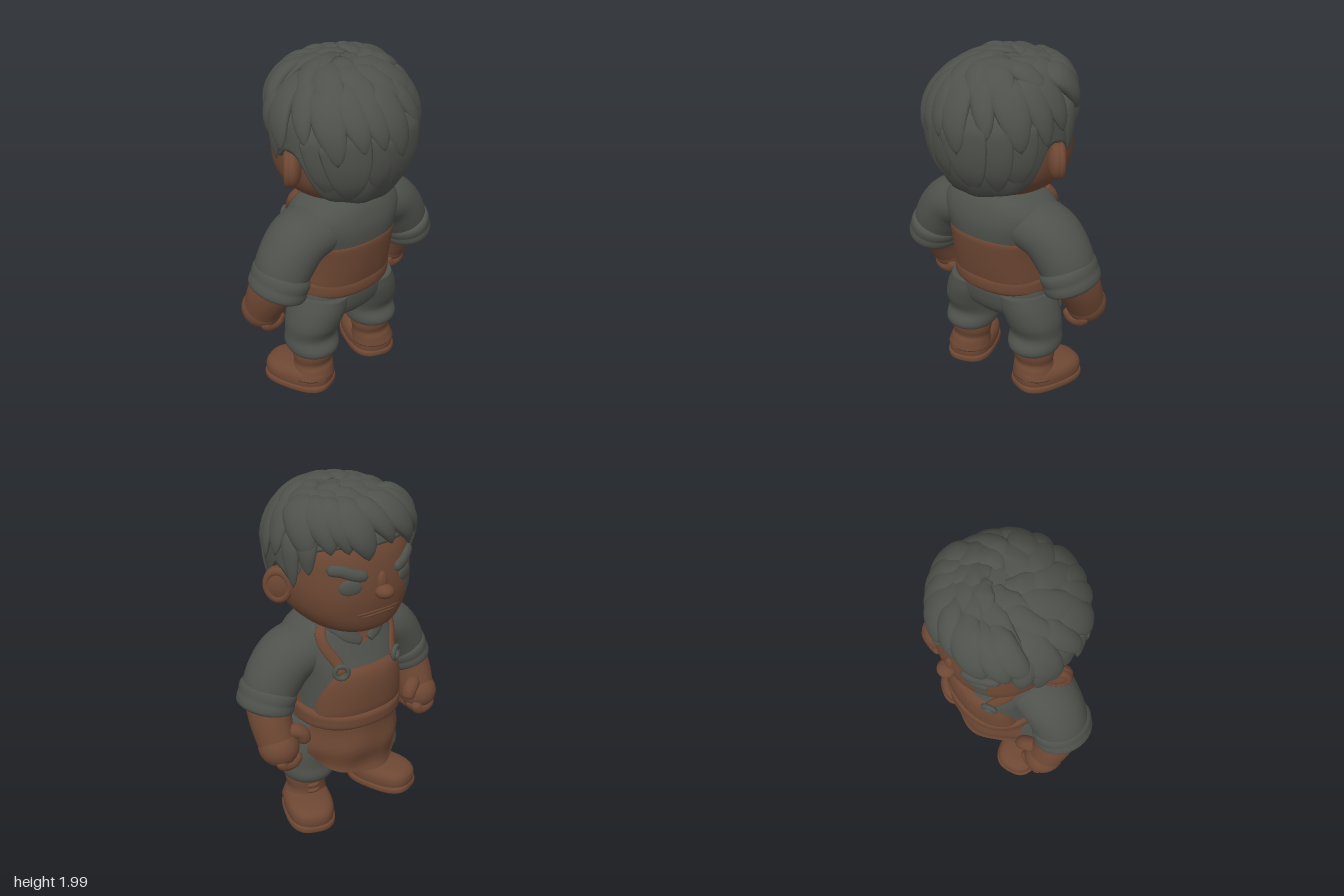
import * as THREE from 'three';
import { mergeVertices } from 'three/addons/utils/BufferGeometryUtils.js';

const V = (x, y, z) => new THREE.Vector3(x, y, z);

// Smooth interpolation of rows keyed on their first value
function sample(rows, k) {
  const n = rows.length - 1;
  k = Math.min(Math.max(k, rows[0][0]), rows[n][0]);
  let i = 0;
  while (i < n - 1 && k > rows[i + 1][0]) i++;
  const h = rows[i + 1][0] - rows[i][0], t = (k - rows[i][0]) / h;
  const slope = (j, c) => {
    const a = rows[Math.max(j - 1, 0)], b = rows[Math.min(j + 1, n)];
    return (b[c] - a[c]) / (b[0] - a[0]) * h;
  };
  return rows[i].map((p, c) => {
    const q = rows[i + 1][c], t2 = t * t, t3 = t2 * t;
    return p * (2 * t3 - 3 * t2 + 1) + q * (3 * t2 - 2 * t3) + slope(i, c) * (t3 - 2 * t2 + t) + slope(i + 1, c) * (t3 - t2);
  });
}

// Surface from f(u, v)
function grid(f, nu, nv) {
  const pos = [], idx = [], w = nu + 1;
  for (let j = 0; j <= nv; j++) for (let i = 0; i <= nu; i++) pos.push(...f(i / nu, j / nv).toArray());
  for (let j = 0; j < nv; j++) for (let i = 0; i < nu; i++) {
    const a = j * w + i;
    idx.push(a, a + 1, a + w, a + 1, a + w + 1, a + w);
  }
  let g = new THREE.BufferGeometry();
  g.setAttribute('position', new THREE.Float32BufferAttribute(pos, 3));
  g.setIndex(idx);
  g = mergeVertices(g, 1e-5);
  g.computeVertexNormals();
  return g;
}

// Upright body from rows [y, centre x, centre z, radius x, radius z]; angle 0 looks to -z
const body = (rows, p = 2) => (a, y, off = 0) => {
  const [, cx, cz, rx, rz] = sample(rows, y), s = Math.sin(a), c = Math.cos(a);
  const e = q => Math.sign(q) * Math.abs(q) ** (2 / p);
  return V(cx + (rx + off) * e(s), y, cz - (rz + off) * e(c));
};
function loft(rows, p = 2, nu = 40, nv = 32) {
  const f = body(rows, p), y0 = rows[0][0], y1 = rows[rows.length - 1][0];
  return grid((u, v) => {
    const w = Math.min(Math.max((v * nv - 1) / (nv - 2), 0), 1), y = y0 + (y1 - y0) * w;
    if (v === 0 || v === 1) { const r = sample(rows, y); return V(r[1], y, r[2]); }
    return f(-(u % 1) * Math.PI * 2, y);
  }, nu, nv);
}

// Tapered tube: size(t) gives [radius along ref, radius across]
function limb(points, size, ref = () => V(0, 0, 1), nu = 20, nv = 20) {
  const curve = new THREE.CatmullRomCurve3(points.map(p => p.isVector3 ? p : V(...p)));
  return grid((u, v) => {
    const t = Math.min(Math.max((v * nv - 1) / (nv - 2), 0), 1);
    const p = curve.getPoint(t), T = curve.getTangent(t);
    if (v === 0 || v === 1) return p;
    const N = ref(p).addScaledVector(T, -ref(p).dot(T)).normalize(), B = T.clone().cross(N);
    const [rn, rb] = size(t), a = (u % 1) * Math.PI * 2;
    return p.addScaledVector(N, rn * Math.cos(a)).addScaledVector(B, rb * Math.sin(a));
  }, nu, nv);
}

export function createModel() {
  const model = new THREE.Group();
  const grey = new THREE.MeshStandardMaterial({ color: 0x4f514c, side: THREE.DoubleSide });
  grey.name = 'charcoal';
  const brown = new THREE.MeshStandardMaterial({ color: 0x6d4733, side: THREE.DoubleSide });
  brown.name = 'brown';
  const add = (name, geo, mat, parent = model) => {
    const m = new THREE.Mesh(geo, mat);
    m.name = name;
    parent.add(m);
    return m;
  };
  const ball = (name, mat, p, r, parent) => {
    const m = add(name, new THREE.SphereGeometry(1, 24, 16), mat, parent);
    m.position.set(...p);
    m.scale.set(...r);
    return m;
  };
  const round = r => t => { const k = Math.sqrt(Math.max(0, 1 - (2 * t - 1) ** 6)); return [r[0] * k, r[1] * k]; };

  // Shirt torso
  const torsoRows = [[0.62, 0, -0.02, 0.28, 0.2], [0.72, 0, -0.045, 0.295, 0.255], [0.82, 0, -0.043, 0.295, 0.275],
    [0.96, 0, -0.027, 0.3, 0.28], [1.08, 0, 0.005, 0.33, 0.258], [1.16, 0, 0.015, 0.33, 0.23],
    [1.22, 0, 0.01, 0.27, 0.205], [1.25, 0, 0, 0.21, 0.18], [1.27, 0, 0, 0.18, 0.15]];
  const torso = body(torsoRows, 2.3);
  add('shirt', loft(torsoRows, 2.3, 48, 40), grey);

  // Apron bib, back panel, belt and skirt
  const panel = (mid, width, y0, y1, thick) => grid((u, v) => {
    const s = 1 - 2 * u, y = y0 + (y1(s) - y0) * v;
    const edge = (1 - s ** 10) * (1 - v ** 24);
    return torso(mid + s * width(v), y, -0.01 + (thick + 0.01) * edge);
  }, 40, 28);
  add('apronBib', panel(0, v => 1.3 - 0.75 * v ** 2.2, 0.68, () => 1.02, 0.022), brown);
  add('apronBack', panel(Math.PI, v => 1.75 - 0.15 * v, 0.68, s => 1.015 - 0.045 * s * s, 0.008), brown);
  add('belt', loft([[0.645, 0, -0.055, 0.3, 0.26], [0.66, 0, -0.06, 0.313, 0.28], [0.7, 0, -0.06, 0.316, 0.287],
    [0.735, 0, -0.06, 0.314, 0.283], [0.755, 0, -0.055, 0.298, 0.262]], 2.2, 48, 16), brown);
  // Skirt hem hangs slightly higher on its left
  add('apronSkirt', grid((u, v) => {
    const s = 1 - 2 * u, a = s * 1.17, low = 0.335 + 0.035 * s * s + 0.04 * s ** 12 + 0.05 * Math.max(s, 0) ** 1.5;
    const y = 0.69 + (low - 0.69) * (1 - v);
    const r = 0.328 + 0.016 * Math.cos(y * 24) * (1 - v) + 0.008 * Math.sin(a * 7 + y * 9) * (1 - v);
    return V(r * (1 + 0.04 * (1 - v)) * Math.sin(a), y, -0.005 - r * Math.cos(a));
  }, 40, 28), brown);

  // Open collar
  add('neck', loft([[1.15, 0, -0.02, 0.15, 0.15], [1.32, 0, -0.02, 0.17, 0.17]], 2, 32, 8), brown);
  add('openChest', grid((u, v) => torso((1 - 2 * u) * 0.3 * v, 1.12 + 0.13 * v, 0.006), 12, 8), brown);

  // Trousers
  add('hips', loft([[0.44, 0, 0, 0.09, 0.08], [0.46, 0, 0, 0.18, 0.12], [0.52, 0, 0.005, 0.28, 0.165],
    [0.62, 0, 0, 0.31, 0.195], [0.7, 0, -0.01, 0.295, 0.2]], 2.2), grey);

  for (const s of [-1, 1]) {
    const side = new THREE.Group();
    side.name = s > 0 ? 'leftSide' : 'rightSide';
    model.add(side);
    const put = (name, geo, mat) => add(name, geo, mat, side);

    put('trouserLeg', loft([[0.245, s * 0.235, 0, 0.12, 0.13], [0.262, s * 0.235, 0, 0.142, 0.155], [0.3, s * 0.235, -0.005, 0.152, 0.165],
      [0.36, s * 0.232, -0.015, 0.15, 0.147], [0.45, s * 0.225, 0, 0.156, 0.165], [0.55, s * 0.192, 0.005, 0.16, 0.182],
      [0.64, s * 0.165, 0, 0.145, 0.19]], 2.1), grey);

    // Boot, turned outward
    put('bootShaft', loft([[0.08, s * 0.25, 0.01, 0.135, 0.13], [0.14, s * 0.24, 0.01, 0.12, 0.115], [0.17, s * 0.237, 0.005, 0.116, 0.107],
      [0.22, s * 0.235, 0.01, 0.127, 0.115], [0.29, s * 0.235, 0.01, 0.128, 0.122]]), brown);
    const foot = new THREE.Group();
    foot.name = 'foot';
    foot.position.set(s * 0.277, 0, -0.068);
    foot.rotation.y = -0.36 * s;
    side.add(foot);
    add('sole', loft([[0, 0, 0, 0.134, 0.205], [0.008, 0, 0, 0.142, 0.212], [0.035, 0, 0, 0.142, 0.212], [0.045, 0, 0, 0.134, 0.204]], 2.8, 40, 12), brown, foot);
    add('bootUpper', loft([[0.03, 0, 0, 0.134, 0.205], [0.08, 0, 0, 0.138, 0.209], [0.115, 0, 0.003, 0.128, 0.197],
      [0.138, 0, 0.015, 0.1, 0.165], [0.147, 0, 0.03, 0.055, 0.11]], 2.6, 40, 20), brown, foot);
    for (const y of [0.16, 0.2]) {
      put('lace', limb([[s * 0.2, y, -0.08], [s * 0.25, y + 0.005, -0.108], [s * 0.3, y, -0.08]], round([0.012, 0.012]), undefined, 8, 10), brown);
    }

    // Sleeve with rolled cuff, tilted along the arm
    put('sleeve', limb([[s * 0.2, 1.08, 0.02], [s * 0.34, 1.035, 0.02], [s * 0.43, 0.93, 0.02], [s * 0.475, 0.83, 0.015]],
      t => [0.19 - 0.035 * t, 0.14 + 0.018 * Math.sin(t * 3)], undefined, 32, 24), grey);
    put('rolledCuff', limb([[s * 0.45, 0.895, 0.025], [s * 0.478, 0.83, 0.02], [s * 0.5, 0.765, 0.015]],
      t => { const k = 0.86 + 0.14 * (1 - (2 * t - 1) ** 6) - 0.02 * Math.exp(-(((t - 0.5) / 0.1) ** 2)); return [0.18 * k, 0.153 * k]; }, undefined, 32, 22), grey);

    // Forearm and fist
    put('forearm', limb([[s * 0.48, 0.83, 0.01], [s * 0.5, 0.72, -0.05], [s * 0.5, 0.6, -0.11]],
      t => [0.145 - 0.035 * t, 0.122 - 0.016 * t], undefined, 28, 16), brown);
    ball('fist', brown, [s * 0.5, 0.59, -0.12], [0.112, 0.112, 0.12], side);
    for (let i = 0; i < 4; i++) {
      const z = -0.195 + i * 0.048;
      put('finger', limb([[s * 0.545, 0.56, z], [s * 0.515, 0.512, z], [s * 0.45, 0.51, z], [s * 0.42, 0.565, z]], round([0.034, 0.036]), undefined, 12, 14), brown);
    }
    put('thumb', limb([[s * 0.46, 0.69, -0.14], [s * 0.39, 0.665, -0.18], [s * 0.37, 0.6, -0.18]], round([0.045, 0.042]), undefined, 14, 14), brown);

    // Apron strap, ring and collar lapel
    const strap = [[0.52, 1.0], [0.55, 1.06], [0.66, 1.13], [0.8, 1.19], [0.95, 1.235]].map(([a, y]) => torso(s * a, y, 0.008));
    put('strap', limb(strap, () => [0.014, 0.03], p => V(p.x, 0.15, p.z).normalize(), 12, 20), brown);
    const ring = put('strapRing', new THREE.TorusGeometry(0.037, 0.014, 10, 24), grey);
    ring.position.copy(torso(s * 0.53, 1.015, 0.025));
    ring.rotation.y = -s * 0.5;
    put('lapel', limb([torso(s * 0.06, 1.14, 0.012), torso(s * 0.24, 1.19, 0.02), torso(s * 0.5, 1.235, 0.02), torso(s * 1.2, 1.25, 0.01)],
      t => [0.014, 0.012 + 0.035 * Math.sin(Math.PI * (0.1 + 0.75 * t))], p => V(p.x, 0.1, p.z).normalize(), 14, 18), grey);
  }

  // Head
  const headRows = [[1.225, 0, -0.1, 0.13, 0.16], [1.24, 0, -0.085, 0.2, 0.23], [1.28, 0, -0.06, 0.265, 0.283], [1.36, 0, -0.035, 0.325, 0.328],
    [1.46, 0, -0.025, 0.35, 0.35], [1.58, 0, -0.02, 0.35, 0.345], [1.7, 0, -0.01, 0.335, 0.32], [1.82, 0, 0, 0.26, 0.24], [1.88, 0, 0, 0.15, 0.14]];
  const head = body(headRows, 2.25);
  add('head', loft(headRows, 2.25, 56, 44), brown);
  const outward = p => V(p.x, (p.y - 1.55) * 0.5, p.z).normalize();
  ball('nose', brown, [0, 1.482, -0.388], [0.052, 0.038, 0.052]);
  ball('noseBridge', brown, [0, 1.525, -0.362], [0.032, 0.06, 0.028]);
  for (const [y, w] of [[1.37, 0.46], [1.352, 0.34]]) {
    const pts = [-1, -0.5, 0, 0.5, 1].map(k => head(k * w, y - 0.01 * k * k, -0.004));
    add('lip', limb(pts, round([0.008, 0.009]), outward, 12, 20), brown);
  }
  add('cheekMark', grid((u, v) => {
    const t = u * Math.PI * 2;
    return head(-0.57 - 0.13 * v * Math.cos(t), 1.455 + 0.036 * v * Math.sin(t), 0.004);
  }, 20, 3), grey);
  for (const s of [-1, 1]) {
    const eye = ball('eye', grey, head(s * 0.48, 1.525, -0.008).toArray(), [0.062, 0.046, 0.018]);
    eye.rotation.y = -s * 0.42;
    const brow = [[0.2, 1.575], [0.4, 1.592], [0.62, 1.617], [0.85, 1.618]].map(([a, y]) => head(s * a, y, 0.002));
    add('eyebrow', limb(brow, round([0.022, 0.032]), outward, 14, 18), grey);
    // Ear flared outward and forward
    const ear = new THREE.Group();
    ear.name = 'ear';
    ear.position.set(s * 0.368, 1.475, 0.025);
    ear.rotation.y = s * 0.7;
    model.add(ear);
    ball('earLobe', brown, [0, 0, 0], [0.05, 0.1, 0.085], ear);
    const rim = add('earRim', new THREE.TorusGeometry(0.068, 0.022, 12, 28), brown, ear);
    rim.rotation.y = Math.PI / 2;
    rim.scale.set(0.92, 1.12, 1);
    rim.position.x = s * 0.022;
  }

  // Hair cap with a hairline that dips at the sideburns and nape, crown set to one side
  const hairline = [[0, 1.73], [0.9, 1.71], [1.12, 1.62], [1.28, 1.51], [1.45, 1.56], [1.75, 1.56], [1.98, 1.36], [2.4, 1.3], [3.15, 1.27]];
  const hair = (a, y, off = 0) => {
    const f = y > 1.65 ? Math.sqrt(Math.max(0, 1 - ((y - 1.65) / 0.32) ** 2)) : 1 - 0.3 * ((1.65 - y) / 0.38) ** 3;
    const k = Math.max((y - 1.65) / 0.32, 0);
    return V((0.38 * f + off) * Math.sin(a) + 0.06 * k ** 3 - 0.008, y + off * k, 0.02 - 0.03 * k - (0.38 * f + off) * Math.cos(a));
  };
  add('hairCap', grid((u, v) => {
    const a = Math.PI - (u % 1) * Math.PI * 2, low = sample(hairline, Math.abs(a))[1];
    const t = Math.min((1 - v) / 0.94, 1), y = 1.97 + (low - 1.97) * t ** 1.7;
    return hair(a, y, v === 0 ? -0.09 : 0.006 * Math.sin(a * 10 + y * 8) * t);
  }, 96, 34), grey);

  // Swept locks: tip angle and height, turn from the root, root height, half width, thickness, mid bulge, tip flick
  const lock = (a, y, da, y0, w, d, bulge, flick) => {
    const pts = [];
    for (let i = 0; i <= 6; i++) {
      const t = i / 6;
      pts.push(hair(a + da * (1 - t) ** 1.5, y0 + (y - y0) * t ** 1.5, bulge * Math.sin(Math.PI * t) + flick * t ** 3));
    }
    const size = t => { const k = Math.min(1, 0.3 + 2.2 * t) * Math.max(0, 1 - t ** 3.5) ** 0.75; return [d * k, w * k]; };
    add('hairLock', limb(pts, size, p => V(p.x, p.y - 1.62, p.z).normalize(), 16, 22), grey);
  };
  const ring = (n, a0, a1, y, dy, da, y0, w, d, bulge, flick) => {
    for (let i = 0; i < n; i++) {
      const a = a0 + (a1 - a0) * i / (n - 1);
      lock(a + 0.08 * Math.sin(i * 5.1), y + dy * Math.sin(i * 2.4 + 1), da, y0, w * (1 + 0.18 * Math.sin(i * 3.7)), d, bulge, flick);
    }
  };
  ring(6, 2.2, 4.08, 1.34, 0.03, 0.15, 1.75, 0.12, 0.02, 0.004, 0);
  ring(10, 1.55, 4.73, 1.6, 0.05, 0.4, 1.92, 0.085, 0.036, 0.006, 0.024);
  ring(8, -1.1, 1.1, 1.69, 0.03, 0.55, 1.93, 0.085, 0.045, 0.03, 0.018);
  ring(11, 0, 5.7, 1.8, 0.03, 0.8, 1.96, 0.08, 0.034, 0.008, 0.024);
  ring(6, 0.4, 5.6, 1.9, 0.015, 1.0, 1.968, 0.075, 0.026, 0.006, 0.015);
  for (const s of [-1, 1]) {
    lock(s * 1.27, 1.49, 0.1 * s, 1.8, 0.06, 0.03, 0.008, 0.01);
    lock(s * 1.02, 1.58, 0.15 * s, 1.85, 0.065, 0.036, 0.015, 0.012);
  }
  return model;
}
